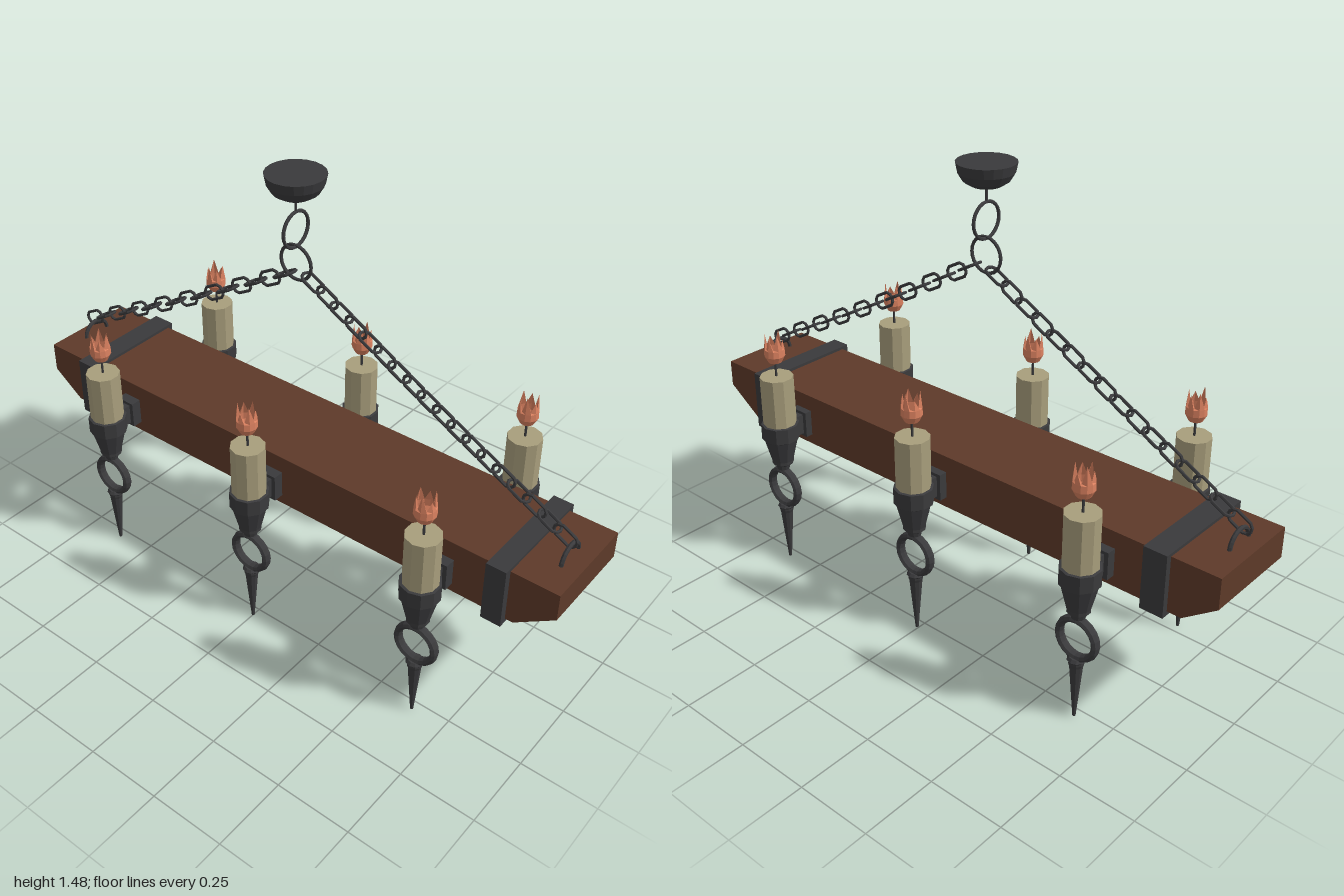
import * as THREE from 'three';

const mat = (color, side = THREE.FrontSide) =>
  new THREE.MeshStandardMaterial({ color, side, flatShading: true });
const wood = mat(0x5e3a29);
const iron = mat(0x3a3a3c);
const wax = mat(0xa89e7c);
const fire = mat(0xd9805f, THREE.DoubleSide);

function add(parent, name, geometry, material, x = 0, y = 0, z = 0) {
  const m = new THREE.Mesh(geometry, material);
  m.name = name;
  m.position.set(x, y, z);
  parent.add(m);
  return m;
}
const lathe = (points, sides) =>
  new THREE.LatheGeometry(points.map(([r, y]) => new THREE.Vector2(r, y)), sides);

// Beam with chamfered lower ends, very slightly skewed in plan
function beamGeometry() {
  const s = new THREE.Shape([
    [-0.89, 0.42], [0.87, 0.42], [1, 0.51], [1, 0.6], [-1, 0.6], [-1, 0.5],
  ].map(([x, y]) => new THREE.Vector2(x, y)));
  const g = new THREE.ExtrudeGeometry(s, { depth: 0.33, bevelEnabled: false });
  const p = g.attributes.position;
  for (let i = 0; i < p.count; i++) p.setZ(i, p.getZ(i) - 0.165 - 0.005 * (p.getX(i) + 1));
  g.computeVertexNormals();
  return g;
}

// Bulb-shaped flame whose rim is pulled up into uneven tongues
function flameGeometry() {
  const profile = [[0, 0.75], [0.022, 0.757], [0.034, 0.78], [0.033, 0.803], [0.027, 0.815]];
  const sides = 12, n = profile.length;
  const tips = [0.045, 0.024, 0.038, 0.03, 0.042, 0.02];
  const g = lathe(profile, sides);
  const p = g.attributes.position;
  for (let i = 0; i <= sides; i++) {
    const k = i * n + n - 1;
    if (i % 2 === 0) p.setY(k, p.getY(k) + tips[(i / 2) % 6]);
    else p.setY(k, p.getY(k) - 0.008);
  }
  g.computeVertexNormals();
  return g;
}

const cupGeo = lathe([
  [0, 0.36], [0.021, 0.36], [0.024, 0.375], [0.036, 0.384], [0.036, 0.395],
  [0.056, 0.475], [0.063, 0.48], [0.063, 0.533], [0.054, 0.535], [0, 0.53],
], 10);
const spikeGeo = lathe([
  [0, 0.004], [0.005, 0.006], [0.021, 0.19], [0.024, 0.2], [0.024, 0.207],
  [0.029, 0.213], [0.022, 0.222], [0, 0.224],
], 10);
const ringGeo = new THREE.TorusGeometry(0.064, 0.0115, 8, 20).scale(1, 1, 1.4);
const flameGeo = flameGeometry();

// One candle on its bracket; side is +1 for the front row, -1 for the back row
function candleHolder(x, side) {
  const g = new THREE.Group();
  g.name = 'candleHolder';
  g.position.set(x, 0, side * 0.28);
  add(g, 'cup', cupGeo, iron);
  add(g, 'candle', new THREE.CylinderGeometry(0.055, 0.055, 0.18, 10), wax, 0, 0.615, 0);
  add(g, 'wick', new THREE.CylinderGeometry(0.004, 0.004, 0.07, 5), iron, 0, 0.735, 0);
  add(g, 'flame', flameGeo, fire).rotation.y = x * 2 + side;
  add(g, 'ring', ringGeo, iron, 0, 0.286, 0);
  add(g, 'spike', spikeGeo, iron);
  add(g, 'bracketPlate', new THREE.BoxGeometry(0.066, 0.09, 0.035), iron, 0, 0.5, -side * 0.1);
  add(g, 'bracketArm', new THREE.BoxGeometry(0.038, 0.07, 0.06), iron, 0, 0.5, -side * 0.065);
  return g;
}

// Oval chain link, long along x
function linkGeometry() {
  const g = new THREE.TorusGeometry(0.023, 0.005, 6, 10);
  const p = g.attributes.position;
  for (let i = 0; i < p.count; i++) p.setX(i, p.getX(i) + 0.017 * Math.sign(p.getX(i)));
  g.computeVertexNormals();
  return g;
}
const linkGeo = linkGeometry();

// Row of links with a slight sag, each turned a quarter from the last
function chain(name, from, to, count) {
  const g = new THREE.Group();
  g.name = name;
  const a = new THREE.Vector3(...from), b = new THREE.Vector3(...to);
  const angle = Math.atan2(b.y - a.y, b.x - a.x);
  for (let i = 0; i < count; i++) {
    const t = i / (count - 1);
    const holder = new THREE.Group();
    holder.name = 'link';
    holder.position.lerpVectors(a, b, t);
    holder.position.y -= 0.01 * Math.sin(Math.PI * t);
    holder.rotation.z = angle;
    add(holder, 'linkLoop', linkGeo, iron).rotation.x = i % 2 ? 0 : Math.PI / 2;
    g.add(holder);
  }
  return g;
}

export function createModel() {
  const model = new THREE.Group();
  model.name = 'beamChandelier';

  add(model, 'beam', beamGeometry(), wood);

  // Iron straps around the beam
  add(model, 'rightStrap', new THREE.BoxGeometry(0.077, 0.204, 0.375), iron, -0.805, 0.508, 0.002);
  add(model, 'leftStrap', new THREE.BoxGeometry(0.066, 0.204, 0.375), iron, 0.812, 0.508, -0.008);

  // Candles, three along each side
  for (const x of [-0.62, 0, 0.635]) model.add(candleHolder(x, 1));
  for (const x of [-0.63, 0.005, 0.62]) model.add(candleHolder(x, -1));

  // Staples holding the chains
  for (const [x, z] of [[-0.945, 0.012], [0.942, 0]]) {
    const staple = new THREE.TorusGeometry(0.049, 0.007, 6, 12, Math.PI);
    add(model, 'staple', staple, iron, x, 0.597, z).rotation.y = Math.PI / 2;
  }

  model.add(chain('rightChain', [-0.072, 1.147, 0.012], [-0.94, 0.665, 0.014], 16));
  model.add(chain('leftChain', [0.033, 1.153, 0.01], [0.92, 0.665, 0], 18));

  // Hanging rings, stem and ceiling cap
  const cx = -0.027, cz = 0.015;
  const hoop = new THREE.TorusGeometry(0.056, 0.0055, 6, 24);
  add(model, 'lowerHoop', hoop, iron, cx, 1.202, cz);
  add(model, 'upperHoop', hoop, iron, cx, 1.309, cz).rotation.y = Math.PI / 2;
  add(model, 'stem', new THREE.CylinderGeometry(0.004, 0.004, 0.06, 6), iron, cx, 1.392, cz);
  add(model, 'ceilingCap', lathe([
    [0, 1.415], [0.046, 1.415], [0.07, 1.43], [0.085, 1.455], [0.091, 1.485], [0, 1.485],
  ], 20), iron, cx, 0, cz);

  return model;
}
